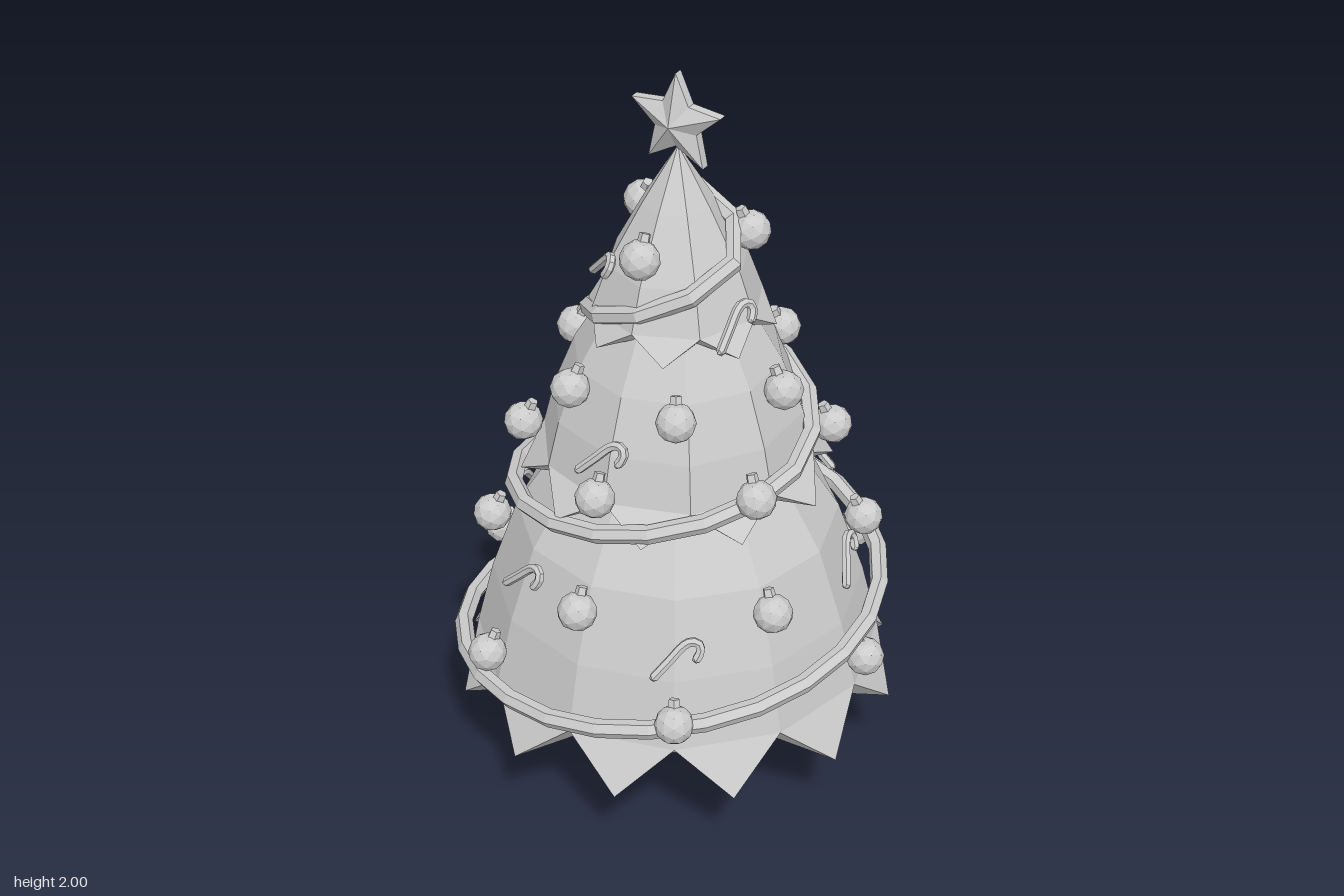
import * as THREE from 'three';

const material = new THREE.MeshStandardMaterial({ color: 0xcccccc, flatShading: true, side: THREE.DoubleSide });
const deg = Math.PI / 180;

function mesh(name, geometry, parent) {
  const m = new THREE.Mesh(geometry, material);
  m.name = name;
  parent.add(m);
  return m;
}

function fromTriangles(points) {
  const g = new THREE.BufferGeometry();
  g.setAttribute('position', new THREE.Float32BufferAttribute(points.flat(), 3));
  g.computeVertexNormals();
  return g;
}

// Point around the trunk; angle 0 faces the front, growing towards +x
const polar = (r, a, y) => [r * Math.sin(a), y, r * Math.cos(a)];

// Faceted skirt of branches with n pointed tips and a folded hem
function branchTier(n, rings, tipR, tipY) {
  const out = [];
  const step = 2 * Math.PI / n;
  const [r0, y0] = rings[0];
  const at = (i, j) => polar(rings[i][0], j * step, rings[i][1]);
  const inner = j => polar(r0 * 0.86, j * step, y0 - (y0 - tipY) * 0.45);
  for (let j = 0; j < n; j++) {
    for (let i = 0; i < rings.length - 1; i++) {
      const a = at(i, j), b = at(i, j + 1), c = at(i + 1, j + 1), d = at(i + 1, j);
      out.push(a, b, c, a, c, d);
    }
    const tip = polar(tipR, (j + 0.5) * step, tipY);
    const p = inner(j), q = inner(j + 1);
    out.push(tip, at(0, j + 1), at(0, j));
    out.push(tip, at(0, j), p, tip, q, at(0, j + 1), tip, p, q);
    out.push(p, [0, y0 + 0.02, 0], q);
  }
  return fromTriangles(out);
}

// Five-pointed star, raised to a ridge on both faces
function starGeometry(R, r, rim, depth) {
  const out = [];
  const pt = (k, z) => {
    const a = k * Math.PI / 5, s = k % 2 ? r : R;
    return [s * Math.sin(a), s * Math.cos(a), z];
  };
  for (let k = 0; k < 10; k++) {
    const a = pt(k, rim), b = pt(k + 1, rim), c = pt(k, -rim), d = pt(k + 1, -rim);
    out.push([0, 0, depth], b, a, [0, 0, -depth], c, d, a, b, d, a, d, c);
  }
  return fromTriangles(out);
}

// Anchor on the tree surface, leaning back with the slope
function surfaceAnchor(name, parent, angle, r, y, lean) {
  const g = new THREE.Group();
  g.name = name;
  g.position.set(...polar(r, angle * deg, y));
  g.rotation.set(-lean, angle * deg, 0, 'YXZ');
  parent.add(g);
  return g;
}

export function createModel() {
  const tree = new THREE.Group();
  tree.name = 'decoratedTree';
  const root = new THREE.Group();
  root.name = 'tree';
  root.position.z = -0.015;
  tree.add(root);

  // Trunk: flared, with shallow bark grooves
  const profile = [[0, 0], [0.078, 0], [0.089, 0.015], [0.083, 0.08], [0.07, 0.2], [0.077, 0.3], [0.08, 0.42]];
  const trunk = new THREE.LatheGeometry(profile.map(p => new THREE.Vector2(...p)), 18);
  const pos = trunk.attributes.position;
  for (let i = 0; i < pos.count; i++) {
    const column = Math.floor(i / profile.length) % 18;
    const row = i % profile.length;
    if (row > 2 && column % 3 === 1) {
      pos.setX(i, pos.getX(i) * 0.88);
      pos.setZ(i, pos.getZ(i) * 0.88);
    }
  }
  mesh('trunk', trunk, root);

  // Three tiers of branches
  mesh('lowerBranches', branchTier(12, [[0.53, 0.4], [0.485, 0.58], [0.415, 0.78], [0.28, 0.99]], 0.58, 0.27), root);
  mesh('middleBranches', branchTier(10, [[0.35, 0.99], [0.32, 1.11], [0.265, 1.25], [0.16, 1.43]], 0.4, 0.915), root);
  mesh('upperBranches', branchTier(8, [[0.215, 1.4], [0.175, 1.51], [0.09, 1.665], [0.001, 1.81]], 0.245, 1.34), root);

  // Star on the top
  mesh('star', starGeometry(0.127, 0.06, 0.012, 0.047), root).position.y = 1.873;

  // Garland: quarter turns starting at the back, [radius, height]
  const quarters = [
    [0.07, 1.68], [0.17, 1.57], [0.19, 1.44], [0.235, 1.32], [0.28, 1.19], [0.36, 1.05],
    [0.385, 0.92], [0.44, 0.82], [0.5, 0.68], [0.54, 0.58], [0.56, 0.45], [0.575, 0.365],
  ];
  const path = [];
  for (let k = 0; k <= 34; k++) {
    const t = k / 3, i = Math.min(Math.floor(t), 10), f = Math.min(t - i, 1.2);
    const r = THREE.MathUtils.lerp(quarters[i][0], quarters[i + 1][0], f);
    const y = THREE.MathUtils.lerp(quarters[i][1], quarters[i + 1][1], f);
    path.push(new THREE.Vector3(...polar(r, Math.PI - t * Math.PI / 2, y)));
  }
  path.push(new THREE.Vector3(...polar(0.51, -118 * deg, 0.345)));
  mesh('garland', new THREE.TubeGeometry(new THREE.CatmullRomCurve3(path), 50, 0.024, 6), root);

  // Baubles in rings: count, first angle, radius, height
  const ball = new THREE.IcosahedronGeometry(0.05, 1);
  const cap = new THREE.CylinderGeometry(0.014, 0.016, 0.022, 5);
  const baubleRings = [[3, 0, 0.175, 1.585], [6, 30, 0.3, 1.225], [6, 0, 0.39, 1.03], [6, 0, 0.48, 0.745], [6, 30, 0.555, 0.505]];
  for (const [count, first, r, y] of baubleRings) {
    for (let k = 0; k < count; k++) {
      const bauble = surfaceAnchor('bauble', root, first + k * 360 / count, r, y, 0.42);
      mesh('baubleBall', ball, bauble);
      mesh('baubleCap', cap, bauble).position.y = 0.054;
    }
  }

  // Hooked canes lying on the branches: angle, radius, height
  const hook = [[0, -0.075], [0, -0.02], [0, 0.035], [0.007, 0.053], [0.023, 0.062], [0.039, 0.053], [0.046, 0.03]]
    .map(([x, y]) => new THREE.Vector3(x, y, 0));
  const cane = new THREE.TubeGeometry(new THREE.CatmullRomCurve3(hook), 14, 0.012, 6);
  const caneEnd = new THREE.IcosahedronGeometry(0.012, 0);
  const canes = [
    [193, 0.19, 1.51], [-52, 0.18, 1.51], [67, 0.22, 1.43],
    [-3, 0.335, 1.12], [236, 0.345, 1.12],
    [-25, 0.465, 0.75], [97, 0.465, 0.75], [160, 0.47, 0.76],
    [30, 0.49, 0.67], [-95, 0.5, 0.67], [204, 0.5, 0.67],
  ];
  for (const [angle, r, y] of canes) {
    const anchor = surfaceAnchor('candyCane', root, angle, r, y, 0.4);
    const stick = new THREE.Group();
    stick.name = 'caneStick';
    stick.rotation.z = -42 * deg;
    anchor.add(stick);
    mesh('caneTube', cane, stick);
    for (const end of [hook[0], hook[hook.length - 1]]) mesh('caneEnd', caneEnd, stick).position.copy(end);
  }

  return tree;
}
